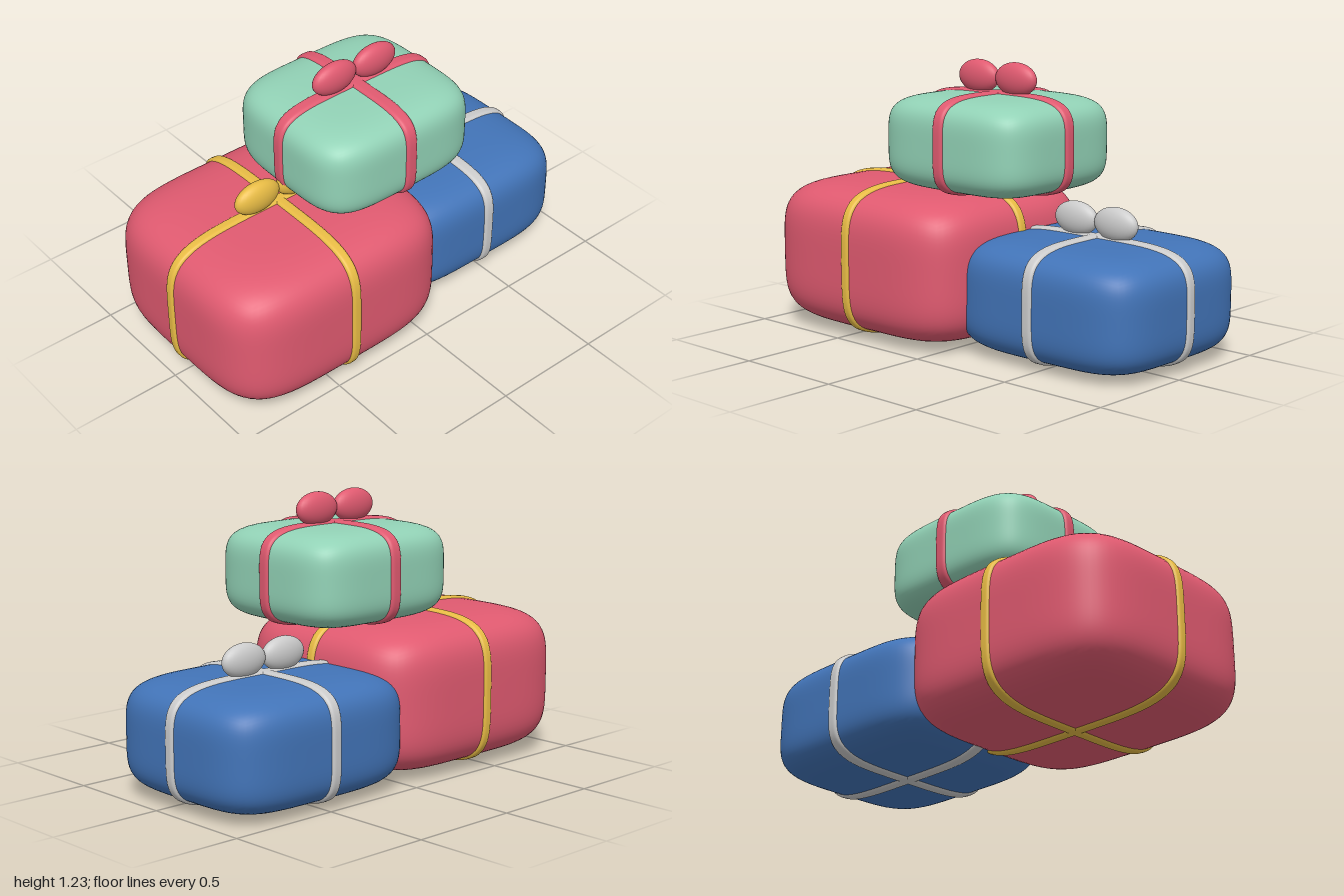
import * as THREE from 'three';

const POWER = 4.5; // squareness of the soft boxes

// Soft box: a cube grid pushed onto a superellipsoid with the given half sizes
function softBox(hx, hy, hz) {
  const geo = new THREE.BoxGeometry(2, 2, 2, 26, 26, 26);
  const pos = geo.attributes.position, nor = geo.attributes.normal;
  const half = new THREE.Vector3(hx, hy, hz);
  const v = new THREE.Vector3(), n = new THREE.Vector3();
  const slope = (t) => Math.sign(t) * Math.abs(t) ** (POWER - 1);
  for (let i = 0; i < pos.count; i++) {
    v.fromBufferAttribute(pos, i);
    const len = Math.abs(v.x) ** POWER + Math.abs(v.y) ** POWER + Math.abs(v.z) ** POWER;
    v.divideScalar(len ** (1 / POWER));
    n.set(slope(v.x), slope(v.y), slope(v.z)).divide(half).normalize();
    v.multiply(half);
    pos.setXYZ(i, v.x, v.y, v.z);
    nor.setXYZ(i, n.x, n.y, n.z);
  }
  return geo;
}

function part(parent, name, geometry, material, x = 0, y = 0, z = 0) {
  const mesh = new THREE.Mesh(geometry, material);
  mesh.name = name;
  mesh.position.set(x, y, z);
  parent.add(mesh);
  return mesh;
}

// One wrapped present: box, two crossing ribbons and a two-loop bow
function present({ name, center, half, paper, ribbon, width }) {
  const group = new THREE.Group();
  group.name = name;
  group.position.set(...center);
  const [hx, hy, hz] = half;
  const lift = 0.01;
  const paperMat = new THREE.MeshStandardMaterial({ color: paper });
  const ribbonMat = new THREE.MeshStandardMaterial({ color: ribbon });

  part(group, 'box', softBox(hx, hy, hz), paperMat);
  part(group, 'ribbonFrontToBack', softBox(width, hy + lift, hz + lift), ribbonMat);
  part(group, 'ribbonSideToSide', softBox(hx + lift, hy + lift, width), ribbonMat);

  for (const side of [-1, 1]) {
    const loop = part(group, side > 0 ? 'bowLoopLeft' : 'bowLoopRight',
      new THREE.SphereGeometry(1, 32, 20), ribbonMat, side * 0.108, hy + 0.066, 0);
    loop.scale.set(0.113, 0.073, 0.045);
  }
  return group;
}

export function createModel() {
  const model = new THREE.Group();
  model.name = 'presentPile';
  model.add(
    present({ name: 'largePresent', center: [-0.42, 0.34, 0], half: [0.57, 0.33, 0.52],
      paper: 0xe05a70, ribbon: 0xe8bc45, width: 0.04 }),
    present({ name: 'mediumPresent', center: [0.49, 0.26, -0.083], half: [0.5, 0.25, 0.44],
      paper: 0x4274b8, ribbon: 0xcccccc, width: 0.044 }),
    present({ name: 'smallPresent', center: [0, 0.88, 0], half: [0.41, 0.207, 0.37],
      paper: 0x92d2b6, ribbon: 0xe05a70, width: 0.047 }),
  );
  return model;
}
